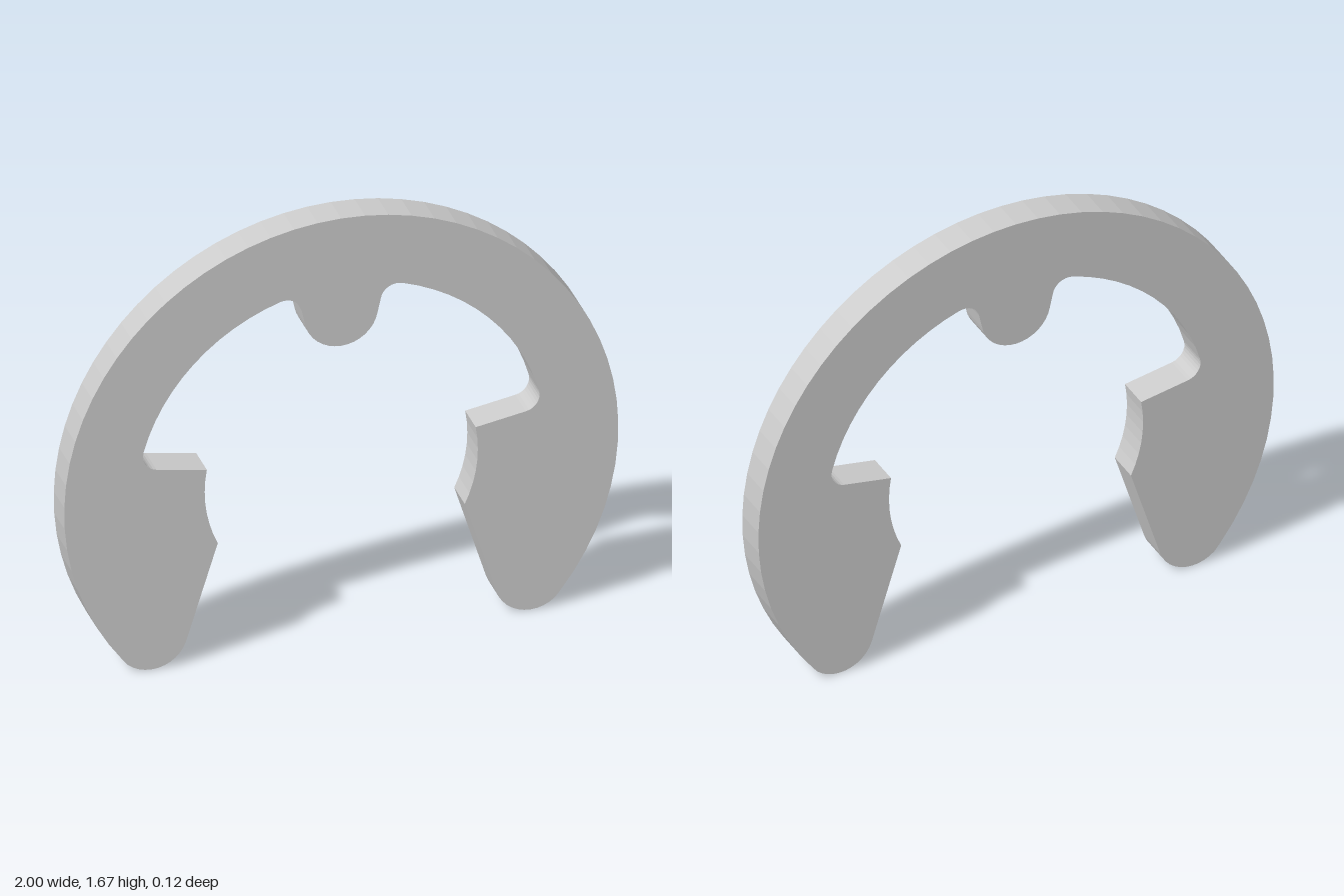
import * as THREE from 'three';

const THICKNESS = 0.12;
const CENTRE_Y = 0.67;

// Points along an arc, angles in degrees
function arc(cx, cy, r, from, to, steps) {
  return Array.from({ length: steps + 1 }, (_, i) => {
    const a = THREE.MathUtils.degToRad(from + (to - from) * i / steps);
    return new THREE.Vector2(cx + r * Math.cos(a), cy + r * Math.sin(a));
  });
}

export function createModel() {
  const group = new THREE.Group();
  group.name = 'retainingClip';

  // Half outline, from the top of the rim round to the tip of the middle prong
  const half = [
    ...arc(0, CENTRE_Y, 1, 90, -37.9, 26),            // outer rim
    ...arc(0.684, 0.13, 0.13, -37.9, -163, 12).slice(1), // rounded foot
    ...arc(0, CENTRE_Y, 0.493, -25.3, 10.2, 7),       // gripping face
    ...arc(0.656, 0.848, 0.06, -79.8, 15.2, 8),       // lower relief corner
    ...arc(0, CENTRE_Y, 0.74, 15.2, 72.7, 12).slice(1), // inner rim
    ...arc(0.202, 1.319, 0.06, 72.7, 170, 8).slice(1),  // corner beside prong
    ...arc(0, 1.298, 0.133, -10, -90, 8),             // prong end
  ];

  // Mirror the half, leaving out the two points on the axis
  const mirrored = half.slice(1, -1).reverse().map(p => new THREE.Vector2(-p.x, p.y));
  const shape = new THREE.Shape([...half, ...mirrored]);

  const geometry = new THREE.ExtrudeGeometry(shape, { depth: THICKNESS, bevelEnabled: false });
  geometry.translate(0, 0, -THICKNESS / 2);

  const clip = new THREE.Mesh(
    geometry,
    new THREE.MeshStandardMaterial({ color: 0xcccccc, flatShading: true })
  );
  clip.name = 'clipPlate';
  group.add(clip);
  return group;
}
